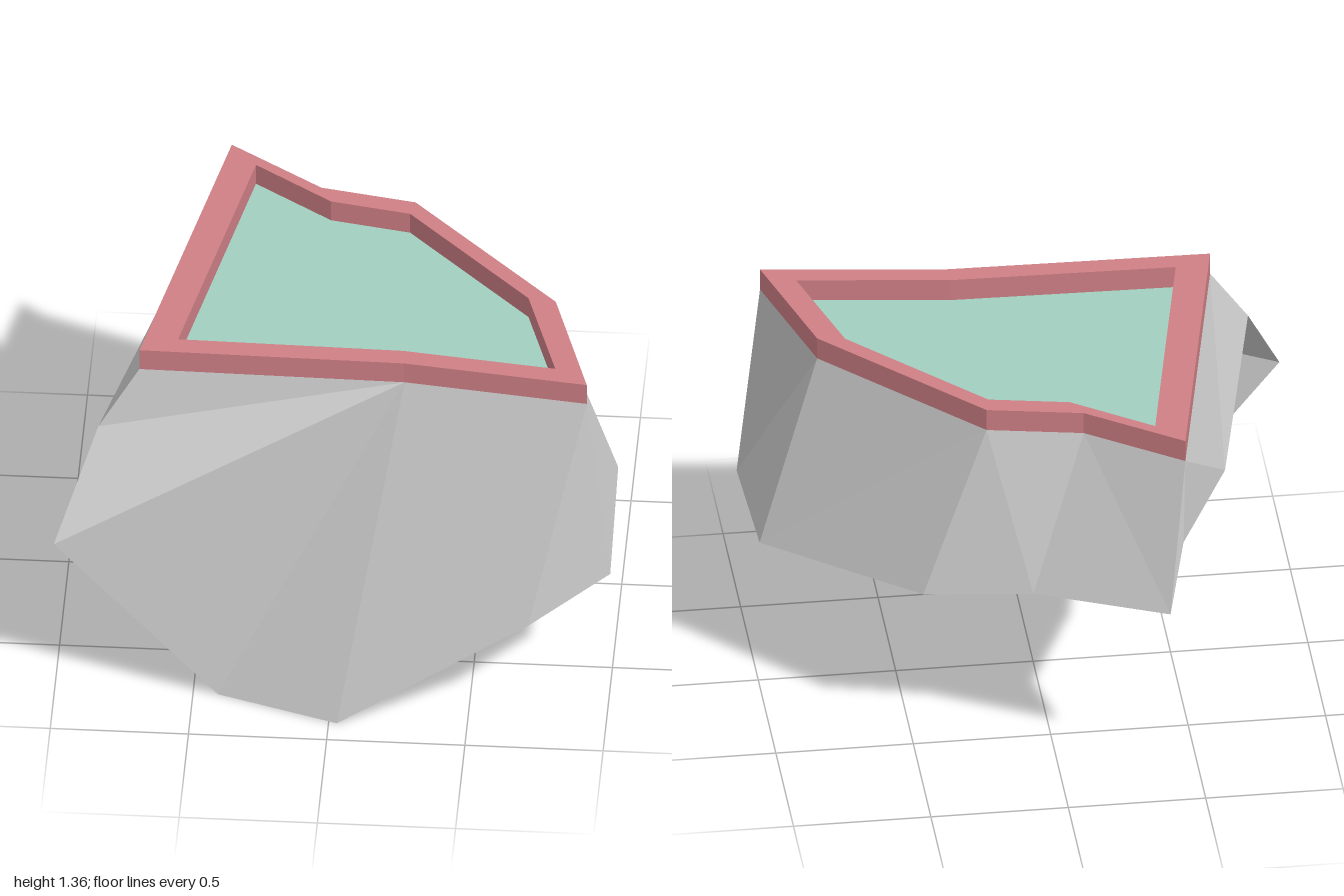
import * as THREE from 'three';

const RIM_TOP = 1.36, RIM_BASE = 1.275;

// Rim outlines as [x, z], walked from the back left corner round the right side
const outer = [[-0.46, -0.735], [-0.12, -0.5], [0.225, -0.435], [0.77, 0.125], [0.915, 0.615], [0.25, 0.53], [-0.71, 0.515]];
const inner = [[-0.365, -0.62], [-0.08, -0.42], [0.21, -0.365], [0.67, 0.11], [0.795, 0.525], [0.24, 0.455], [-0.575, 0.44]];

// Lower, ragged edge of the rock skirt
const lower = {
  a: [-0.385, 0.73, -0.9], b: [0.08, 0.69, -0.635], c: [0.465, 0.64, -0.51],
  d: [0.99, 0.56, 0.04], e: [1, 0.51, 0.615], f: [0.72, 0.45, 0.865],
  g: [0.03, 0, 0.9], h: [-0.41, 0, 0.755], i: [-1, 0.69, 0.81],
  j: [-0.855, 1.05, 0.57], k: [-0.65, 1.0, -0.38], m: [-0.445, 0.97, -0.8],
};

// Facets: capitals are rim corners, small letters lie on the lower edge
const facets = 'Egf Efe EeD Ded DdC Cdc Ccb CbB Bba BaA Aam Amk AkG Gkj GjF jiF Fih Fhg FgE';

function facetGeometry(points) {
  const geometry = new THREE.BufferGeometry();
  geometry.setAttribute('position', new THREE.Float32BufferAttribute(points.flat(), 3));
  geometry.computeVertexNormals();
  return geometry;
}

function material(name, color) {
  const m = new THREE.MeshStandardMaterial({ color, flatShading: true, side: THREE.DoubleSide });
  m.name = name;
  return m;
}

export function createModel() {
  const group = new THREE.Group();
  group.name = 'rockLedge';
  const add = (name, geometry, mat) => {
    const mesh = new THREE.Mesh(geometry, mat);
    mesh.name = name;
    group.add(mesh);
  };
  const at = ([x, z], y) => [x, y, z];

  // Faceted rock skirt hanging from the rim
  const corners = { ...lower };
  outer.forEach((p, n) => { corners['ABCDEFG'[n]] = at(p, RIM_BASE); });
  const skirt = facets.split(' ').flatMap((t) => [...t].map((key) => corners[key]));
  add('rockSkirt', facetGeometry(skirt), material('grey rock', 0xc8c8c8));

  // Raised border, open underneath: outer wall, top band and inner wall
  const rim = [];
  const quad = (p, q, r, s) => rim.push(p, q, r, p, r, s);
  outer.forEach((o, n) => {
    const next = (n + 1) % outer.length;
    const o2 = outer[next], i = inner[n], i2 = inner[next];
    quad(at(o2, RIM_BASE), at(o, RIM_BASE), at(o, RIM_TOP), at(o2, RIM_TOP));
    quad(at(o, RIM_TOP), at(i, RIM_TOP), at(i2, RIM_TOP), at(o2, RIM_TOP));
    quad(at(i, RIM_BASE), at(i2, RIM_BASE), at(i2, RIM_TOP), at(i, RIM_TOP));
  });
  add('rim', facetGeometry(rim), material('pink rim', 0xce7f85));

  // Sunken floor inside the border
  const floor = new THREE.ShapeGeometry(new THREE.Shape(inner.map(([x, z]) => new THREE.Vector2(x, -z))));
  floor.rotateX(-Math.PI / 2).translate(0, RIM_BASE, 0);
  add('floor', floor, material('pale green floor', 0xa2cebf));

  return group;
}
